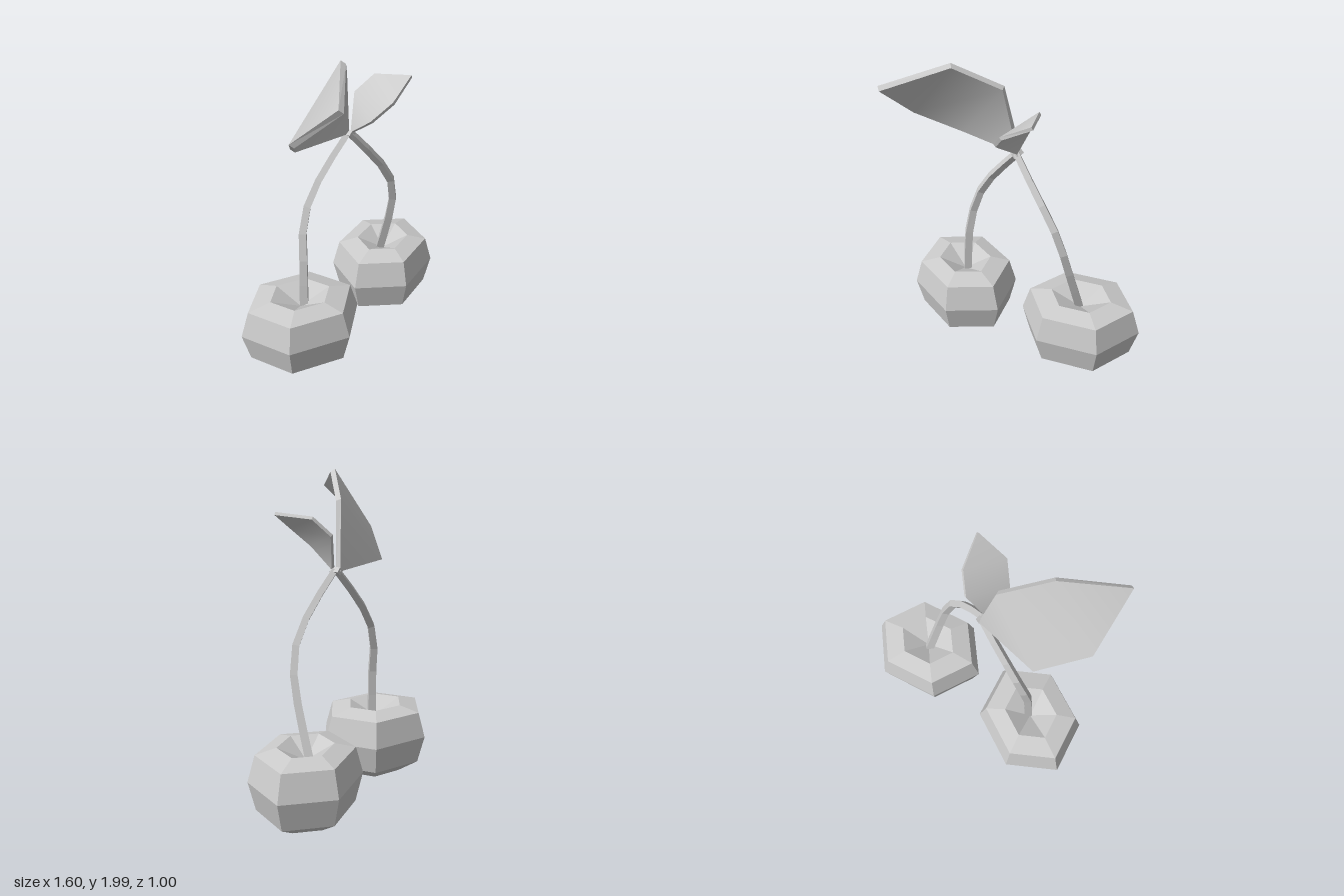
import * as THREE from 'three';
import { mergeGeometries } from 'three/addons/utils/BufferGeometryUtils.js';

const flat = new THREE.MeshStandardMaterial({ color: 0xcccccc, flatShading: true, side: THREE.DoubleSide });
const smooth = new THREE.MeshStandardMaterial({ color: 0xcccccc });
const vec = (p) => new THREE.Vector3(...p);

function add(group, name, geometry, material) {
  const mesh = new THREE.Mesh(geometry, material);
  mesh.name = name;
  group.add(mesh);
  return mesh;
}

// Six-sided fruit with a dent at the top; side mirrors its slightly skewed hexagon
function cherryGeometry(side) {
  const profile = [[0, 0.03], [0.5, 0], [0.87, 0.085], [1, 0.265], [0.87, 0.43], [0.5, 0.465], [0, 0.375]];
  const g = new THREE.LatheGeometry(profile.map(([r, y]) => new THREE.Vector2(r, y)), 6);
  g.applyMatrix4(new THREE.Matrix4().makeBasis(
    new THREE.Vector3(0.371, 0, side * 0.055),
    new THREE.Vector3(0, 1, 0),
    new THREE.Vector3(-side * 0.105, 0, 0.335)));
  return g;
}

// Square stalk along a path, thinner at its upper end
function stemGeometry(points) {
  const curve = new THREE.CatmullRomCurve3(points.map(vec));
  const steps = 7, sides = 4;
  const g = new THREE.TubeGeometry(curve, steps, 0.036, sides);
  const pos = g.attributes.position, v = new THREE.Vector3();
  for (let i = 0; i <= steps; i++) {
    const c = curve.getPointAt(i / steps), s = 1 - 0.3 * i / steps;
    for (let j = 0; j <= sides; j++) {
      const k = i * (sides + 1) + j;
      v.fromBufferAttribute(pos, k).sub(c).multiplyScalar(s).add(c);
      pos.setXYZ(k, v.x, v.y, v.z);
    }
  }
  return g;
}

// Bent leaf slab from its outline: base, two side points, tip, two side points
function leafGeometry(outline, thickness) {
  const pts = outline.map(vec);
  const tris = [0, 1, 5, 1, 2, 4, 1, 4, 5, 2, 3, 4];
  const sheet = (points, index) => {
    const g = new THREE.BufferGeometry().setFromPoints(points);
    g.setIndex(index);
    g.computeVertexNormals();
    return g;
  };
  const normals = sheet(pts, tris).attributes.normal;
  const offset = (d) => pts.map((p, i) =>
    new THREE.Vector3().fromBufferAttribute(normals, i).multiplyScalar(d).add(p));
  const front = offset(thickness / 2), back = offset(-thickness / 2);
  const rim = [];
  for (let i = 0; i < 6; i++) {
    const j = (i + 1) % 6;
    rim.push(front[i], back[i], back[j], front[i], back[j], front[j]);
  }
  const edge = new THREE.BufferGeometry().setFromPoints(rim);
  edge.computeVertexNormals();
  return mergeGeometries([
    sheet(front, tris).toNonIndexed(),
    sheet(back, [...tris].reverse()).toNonIndexed(),
    edge]);
}

export function createModel() {
  const group = new THREE.Group();

  // Fruits
  add(group, 'rightCherry', cherryGeometry(-1), flat).position.set(-0.43, 0, -0.035);
  add(group, 'leftCherry', cherryGeometry(1), flat).position.set(0.423, 0, -0.17);

  // Stalks meeting at the top
  add(group, 'rightStem', stemGeometry([
    [-0.405, 0.36, -0.03], [-0.39, 0.7, -0.04], [-0.35, 0.94, -0.075],
    [-0.27, 1.1, -0.08], [-0.16, 1.24, -0.075], [0, 1.42, -0.055]]), flat);
  add(group, 'leftStem', stemGeometry([
    [0.405, 0.36, -0.185], [0.38, 0.72, -0.065], [0.345, 0.94, -0.01],
    [0.27, 1.09, 0], [0.17, 1.22, -0.005], [0, 1.42, -0.04]]), flat);
  const joint = add(group, 'stemJoint', new THREE.BoxGeometry(0.036, 0.036, 0.06), flat);
  joint.position.set(0, 1.415, -0.05);
  joint.rotation.z = Math.PI / 4;

  // Leaves
  add(group, 'largeLeaf', leafGeometry([
    [0, 1.415, -0.065], [-0.07, 1.83, -0.01], [-0.27, 1.985, 0.2],
    [-0.55, 1.875, 0.49], [-0.612, 1.6, 0.17], [-0.42, 1.43, -0.065]], 0.034), smooth);
  add(group, 'smallLeaf', leafGeometry([
    [0.005, 1.425, -0.03], [0.09, 1.64, -0.09], [0.18, 1.745, -0.02],
    [0.275, 1.765, 0.185], [0.09, 1.66, 0.225], [-0.01, 1.55, 0.15]], 0.02), smooth);

  return group;
}
